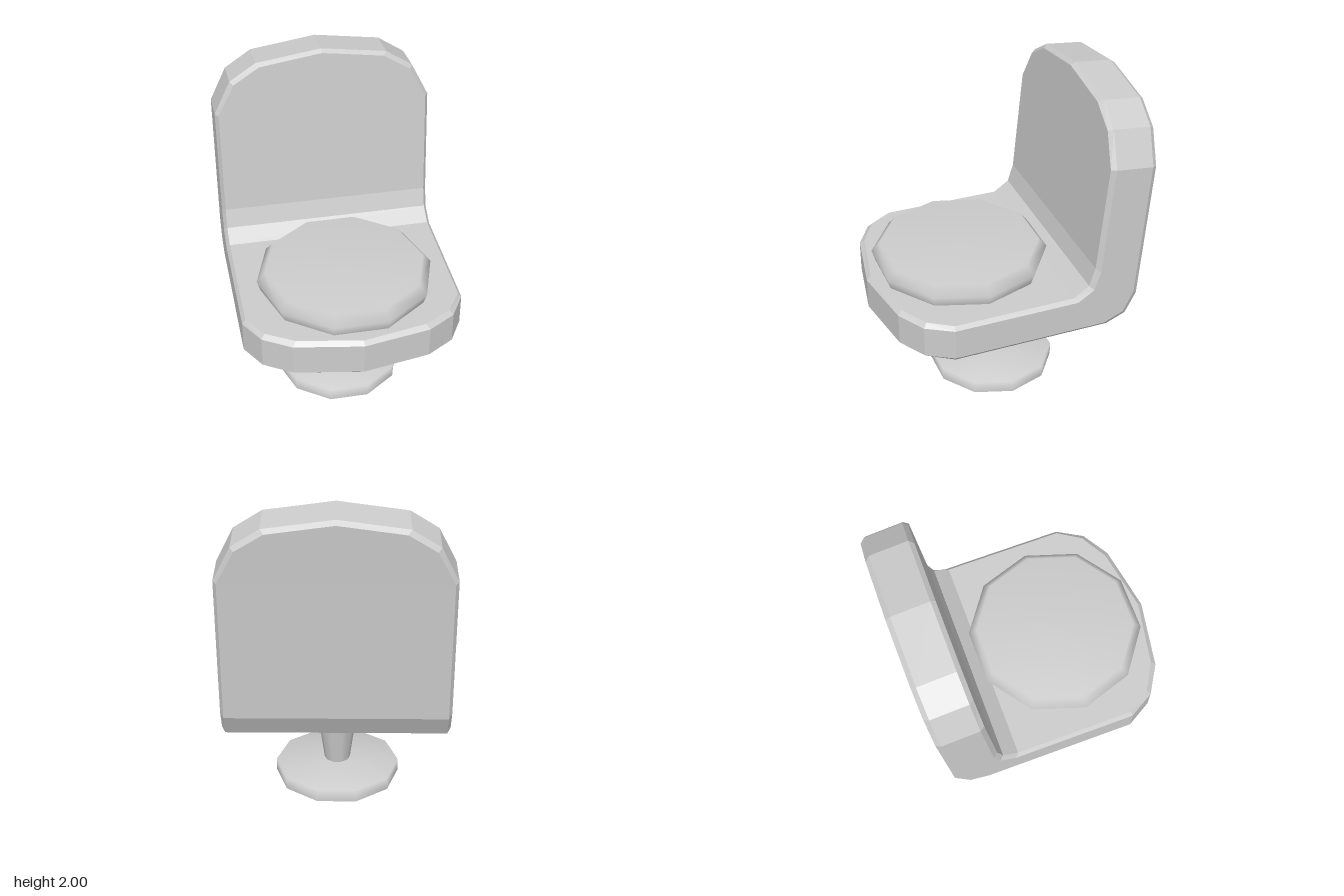
import * as THREE from 'three';

const grey = new THREE.MeshStandardMaterial({ color: 0xcccccc, side: THREE.DoubleSide });
grey.name = 'grey';
const greyFlat = grey.clone();
greyFlat.flatShading = true;

// Ten-sided turned part with a corner on each side of the x axis
function turned(name, profile, z) {
  const points = profile.map(([r, y]) => new THREE.Vector2(r, y));
  const mesh = new THREE.Mesh(new THREE.LatheGeometry(points, 10, Math.PI / 2), grey);
  mesh.name = name;
  mesh.position.z = z;
  return mesh;
}

// Eight-cornered chamfered section across the shell.
// inner and outer are [z, y]; the rim is pushed out by [rimZ, rimY].
function section(inner, outer, w, rimZ = 0, rimY = 0) {
  const rim = (t) => [
    inner[0] + (outer[0] - inner[0]) * t + rimZ,
    inner[1] + (outer[1] - inner[1]) * t + rimY,
  ];
  const faceW = Math.max(0, w - 0.02);
  const half = [[faceW, inner], [w, rim(0.1)], [w, rim(0.9)], [faceW, outer]];
  const left = half.map(([x, [z, y]]) => [x, y, z]);
  const right = left.map(([x, y, z]) => [-x, y, z]).reverse();
  return [...left, ...right];
}

// Seat and backrest as one folded shell, open under the flat seat
function shell() {
  const sections = [];
  // rounded front of the seat
  for (const [z, w, rim] of [[0.755, 0, 0.025], [0.685, 0.4, 0.025], [0.59, 0.565, 0.02], [0.45, 0.655, 0.005]]) {
    sections.push(section([z, 0.82], [z, 0.58], w, rim, 0));
  }
  // bend
  sections.push(section([-0.28, 0.82], [-0.5, 0.58], 0.655));
  sections.push(section([-0.375, 0.885], [-0.62, 0.63], 0.655));
  sections.push(section([-0.41, 1.0], [-0.685, 0.76], 0.655));
  // leaning backrest with a rounded top
  for (const [y, w, rim] of [[1.64, 0.655, 0.005], [1.83, 0.555, 0.015], [1.93, 0.395, 0.018], [1.983, 0, 0.02]]) {
    const z = -0.5 + (1.983 - y) * 0.092;
    sections.push(section([z, y], [z - 0.28, y - 0.03], w, 0, rim));
  }

  const positions = [];
  for (let k = 0; k < sections.length - 1; k++) {
    for (let j = 0; j < 8; j++) {
      if (j === 3 && k < 4) continue; // open underside
      const n = (j + 1) % 8;
      const a = sections[k][j], b = sections[k][n];
      const c = sections[k + 1][n], d = sections[k + 1][j];
      positions.push(...a, ...b, ...c, ...a, ...c, ...d);
    }
  }
  const geometry = new THREE.BufferGeometry();
  geometry.setAttribute('position', new THREE.Float32BufferAttribute(positions, 3));
  geometry.computeVertexNormals();
  const mesh = new THREE.Mesh(geometry, greyFlat);
  mesh.name = 'seatShell';
  return mesh;
}

export function createModel() {
  const group = new THREE.Group();
  group.name = 'pedestalChair';
  group.add(
    shell(),
    turned('cushion', [[0.51, 0.82], [0.53, 0.885], [0.48, 0.943], [0, 0.945]], 0.195),
    // hollow foot and flared post
    turned('foot', [[0.385, 0], [0.385, 0.078], [0.08, 0.102]], -0.01),
    turned('post', [[0.08, 0.102], [0.147, 0.59]], -0.01),
  );
  return group;
}
